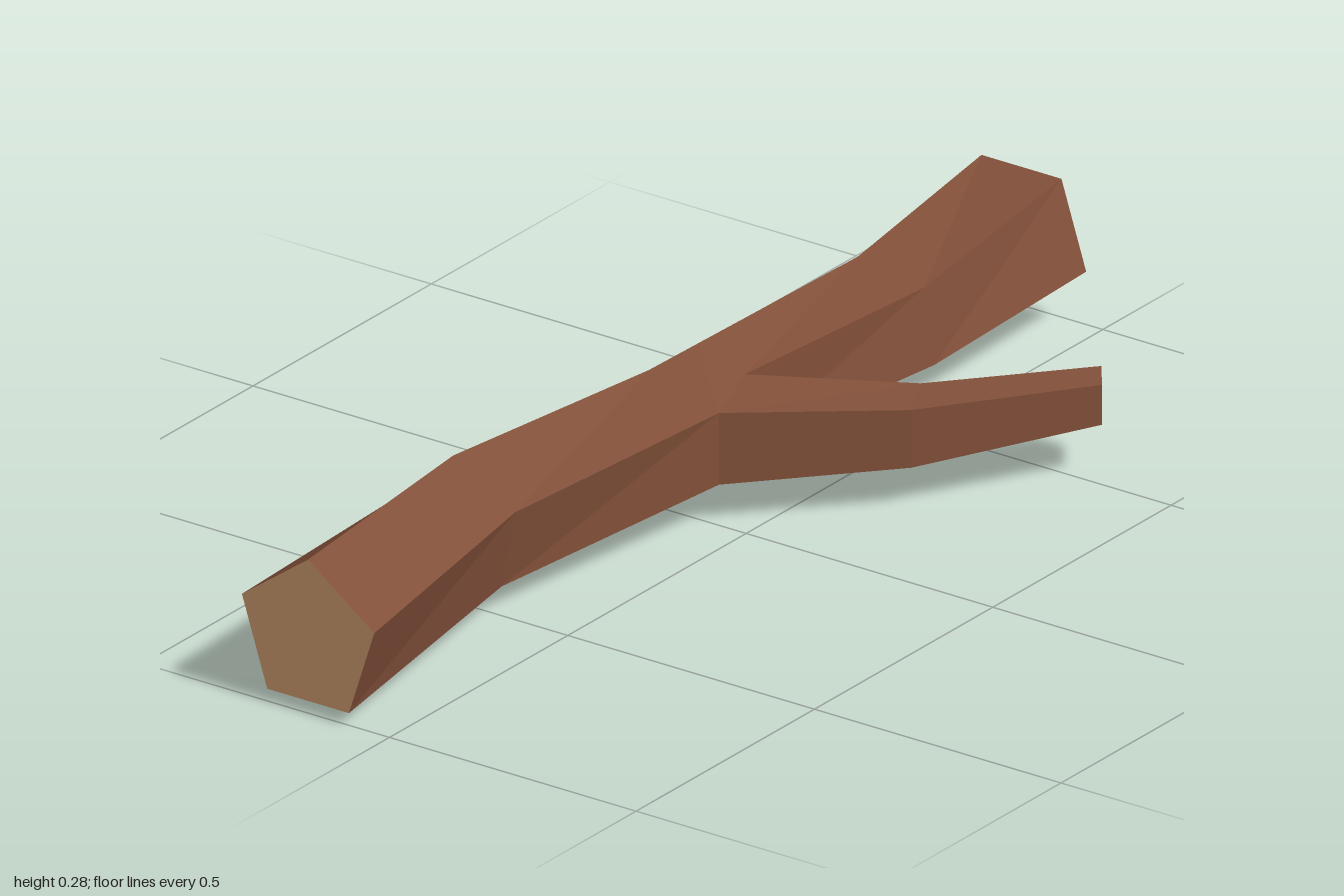
import * as THREE from 'three';

// Skin a list of rings (each counter-clockwise seen from the start) with flat faces.
function loft(rings, skip = () => false) {
  const pos = [];
  const tri = (...p) => p.forEach((v) => pos.push(v.x, v.y, v.z));
  for (let i = 0; i < rings.length - 1; i++) {
    const n = rings[i].length;
    for (let j = 0; j < n; j++) {
      if (skip(i, j)) continue;
      const k = (j + 1) % n;
      const a = rings[i][j], b = rings[i][k], c = rings[i + 1][k], d = rings[i + 1][j];
      tri(a, d, c);
      tri(a, c, b);
    }
  }
  return toGeometry(pos);
}

// Flat lid on a ring.
function lid(ring, flip) {
  const pos = [];
  for (let j = 1; j < ring.length - 1; j++) {
    const t = flip ? [ring[0], ring[j + 1], ring[j]] : [ring[0], ring[j], ring[j + 1]];
    t.forEach((v) => pos.push(v.x, v.y, v.z));
  }
  return toGeometry(pos);
}

function toGeometry(pos) {
  const g = new THREE.BufferGeometry();
  g.setAttribute('position', new THREE.Float32BufferAttribute(pos, 3));
  g.computeVertexNormals();
  return g;
}

// Pentagon across the trunk; angle is that of its top corner.
function pentagon(x, y, z, r, angle) {
  return Array.from({ length: 5 }, (_, j) => {
    const a = THREE.MathUtils.degToRad(angle + j * 72);
    return new THREE.Vector3(x + r * Math.cos(a), y + r * Math.sin(a), z);
  });
}

export function createModel() {
  const bark = new THREE.MeshStandardMaterial({ color: 0x82503a });
  bark.name = 'bark';
  const cutWood = new THREE.MeshStandardMaterial({ color: 0xdca678 });
  cutWood.name = 'cut wood';

  const group = new THREE.Group();
  group.name = 'branchedLog';
  const add = (name, geometry, material) => {
    const mesh = new THREE.Mesh(geometry, material);
    mesh.name = name;
    group.add(mesh);
  };

  // Trunk: slightly twisting, bending pentagonal rings from front to back
  const front = pentagon(-0.165, 0.138, 1, 0.141, 90);
  const bend = pentagon(-0.225, 0.138, 0.49, 0.122, 97);
  const fork = pentagon(-0.163, 0.14, 0, 0.11, 108);
  const rear = pentagon(-0.14, 0.135, -0.58, 0.115, 117);
  const back = pentagon(-0.165, 0.14, -1, 0.138, 126);
  // Crotch ring, with the two right-hand corners pulled in under the branch
  const crotch = fork.map((v, j) => v.clone().lerp(rear[j], 0.135 / 0.58));
  fork[3].x = fork[4].x = -0.055;
  crotch[3].x = crotch[4].x = -0.1;
  crotch[4].y = 0.213;
  const trunk = [front, bend, fork, crotch, rear, back];

  // The side where the branch leaves the trunk stays open
  add('trunk', loft(trunk, (i, j) => i === 2 && j === 3), bark);
  add('trunkFrontCut', lid(front, false), cutWood);
  add('trunkBackCut', lid(back, true), cutWood);

  // Side branch: four-sided, growing out of the trunk's open side
  const section = (xi, zi, xo, zo, top, bottom) => [
    new THREE.Vector3(xi, top, zi), new THREE.Vector3(xi, bottom, zi),
    new THREE.Vector3(xo, bottom, zo), new THREE.Vector3(xo, top, zo),
  ];
  const branch = [
    [crotch[4], crotch[3], fork[3], fork[4]],
    section(0.115, -0.33, 0.165, -0.235, 0.182, 0.078),
    section(0.297, -0.585, 0.342, -0.525, 0.168, 0.096),
  ];
  add('sideBranch', loft(branch), bark);
  add('sideBranchCut', lid(branch[2], true), cutWood);

  return group;
}
